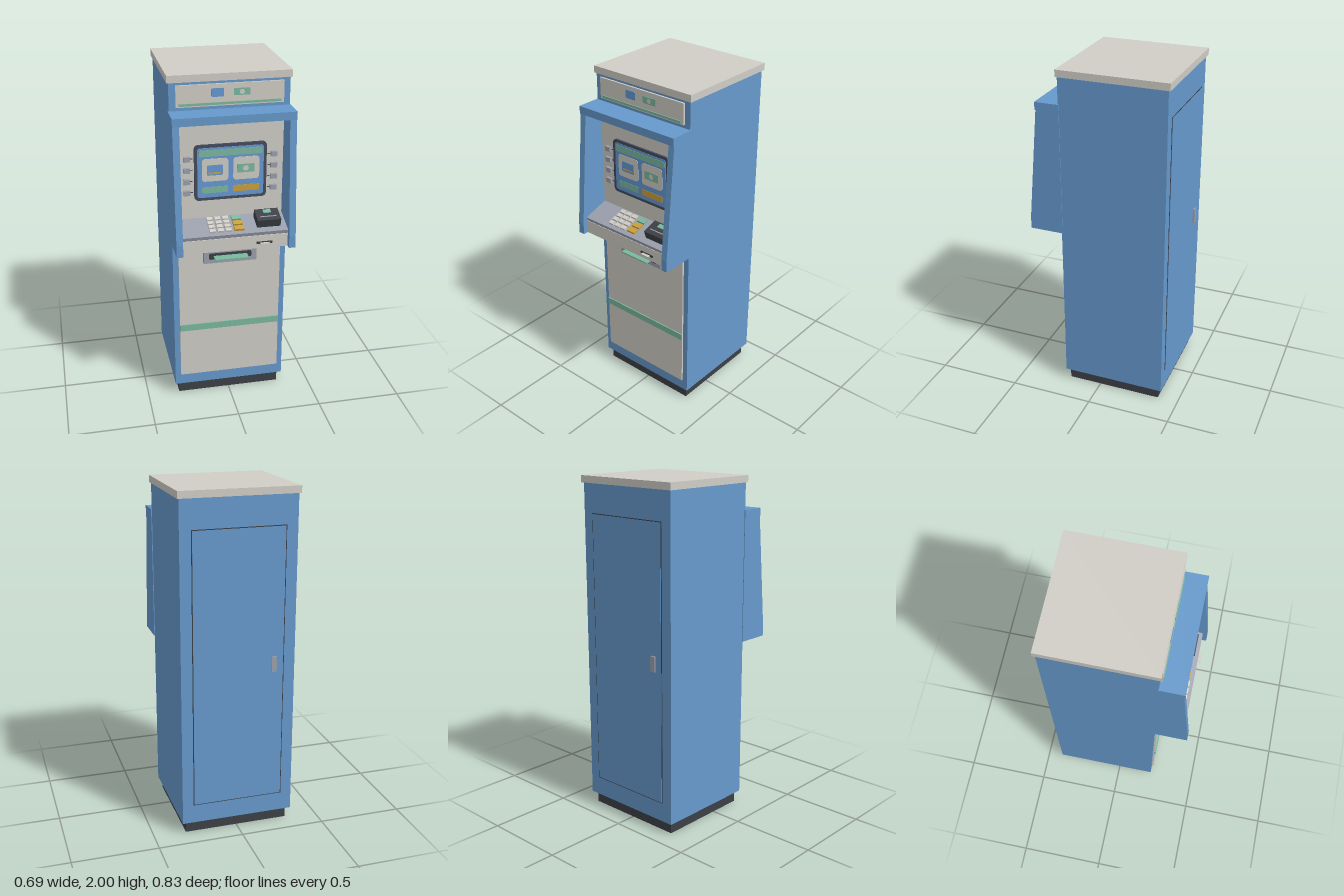
import * as THREE from 'three';

const mat = (name, color) => {
  const m = new THREE.MeshStandardMaterial({ color });
  m.name = name;
  return m;
};

export function createModel() {
  const blue = mat('cabinet blue', 0x6699cc);
  const cream = mat('warm light grey', 0xd0cdc6);
  const dark = mat('charcoal', 0x3c4046);
  const steel = mat('steel grey', 0x9a9fac);
  const frame = mat('bezel slate', 0x454b5c);
  const screenBlue = mat('screen blue', 0x6699d6);
  const green = mat('mint green', 0x7ab8a0);
  const amber = mat('amber', 0xcca03a);

  const root = new THREE.Group();
  const add = (name, geo, m, parent = root) => {
    const mesh = new THREE.Mesh(geo, m);
    mesh.name = name;
    parent.add(mesh);
    return mesh;
  };
  // box given by its extents
  const box = (name, m, x0, x1, y0, y1, z0, z1, parent = root) => {
    const mesh = add(name, new THREE.BoxGeometry(x1 - x0, y1 - y0, z1 - z0), m, parent);
    mesh.position.set((x0 + x1) / 2, (y0 + y1) / 2, (z0 + z1) / 2);
    return mesh;
  };
  // rounded plate facing the front
  const plate = (name, m, x0, x1, y0, y1, z0, depth, r, parent = root) => {
    const s = new THREE.Shape();
    s.moveTo(x0 + r, y0);
    s.lineTo(x1 - r, y0);
    s.absarc(x1 - r, y0 + r, r, -Math.PI / 2, 0);
    s.absarc(x1 - r, y1 - r, r, 0, Math.PI / 2);
    s.absarc(x0 + r, y1 - r, r, Math.PI / 2, Math.PI);
    s.absarc(x0 + r, y0 + r, r, Math.PI, Math.PI * 1.5);
    const g = new THREE.ExtrudeGeometry(s, { depth, bevelEnabled: false, curveSegments: 6 });
    g.translate(0, 0, z0);
    return add(name, g, m, parent);
  };
  const disc = (name, m, x, y, z, r, parent) => {
    const mesh = add(name, new THREE.CircleGeometry(r, 20), m, parent);
    mesh.position.set(x, y, z);
  };

  // cabinet
  box('plinth', dark, -0.31, 0.31, 0, 0.07, -0.375, 0.2);
  box('cabinet', blue, -0.333, 0.333, 0.07, 1.96, -0.4, 0.22);
  box('topCap', cream, -0.343, 0.343, 1.96, 2, -0.412, 0.228);
  box('lowerPanel', cream, -0.3, 0.3, 0.14, 1.03, 0.215, 0.23);
  box('accentStripe', green, -0.3, 0.3, 0.45, 0.49, 0.225, 0.237);
  box('mainPanel', cream, -0.3, 0.3, 1.03, 1.76, 0.215, 0.231);

  // service door on the back
  box('doorGap', dark, -0.268, 0.268, 0.182, 1.793, -0.402, -0.395);
  box('serviceDoor', blue, -0.263, 0.263, 0.187, 1.788, -0.404, -0.395);
  box('doorHandle', steel, -0.222, -0.19, 0.96, 1.05, -0.414, -0.4);

  // header sign
  const sign = new THREE.Group();
  sign.name = 'headerSign';
  root.add(sign);
  box('signPanel', cream, -0.297, 0.297, 1.825, 1.945, 0.215, 0.231, sign);
  box('signStripe', green, -0.28, 0.28, 1.832, 1.845, 0.229, 0.236, sign);
  plate('signCard', screenBlue, -0.105, -0.035, 1.875, 1.922, 0.23, 0.004, 0.008, sign);
  plate('signNote', green, 0.018, 0.108, 1.878, 1.917, 0.23, 0.004, 0.004, sign);
  disc('signNoteDot', cream, 0.063, 1.8975, 0.2355, 0.014, sign);

  // visor and tapered side wings
  box('visor', blue, -0.338, 0.338, 1.76, 1.805, 0.215, 0.357);
  const wing = new THREE.Shape([[-0.215, 1.03], [-0.215, 1.76], [-0.352, 1.76], [-0.412, 1.1], [-0.412, 1.03]]
    .map(([x, y]) => new THREE.Vector2(x, y)));
  for (const x of [-0.337, 0.3]) {
    const g = new THREE.ExtrudeGeometry(wing, { depth: 0.037, bevelEnabled: false });
    g.rotateY(Math.PI / 2);
    add('sideWing', g, blue).position.x = x;
  }

  // screen with its menu
  const screen = new THREE.Group();
  screen.name = 'screen';
  root.add(screen);
  plate('bezel', frame, -0.204, 0.204, 1.287, 1.612, 0.228, 0.014, 0.025, screen);
  plate('display', screenBlue, -0.187, 0.187, 1.304, 1.595, 0.24, 0.004, 0.015, screen);
  plate('menuHeader', green, -0.178, 0.178, 1.545, 1.583, 0.242, 0.004, 0.008, screen);
  for (const side of [-1, 1]) {
    const c = side * 0.088;
    plate('menuTile', cream, c - 0.074, c + 0.074, 1.4, 1.532, 0.242, 0.004, 0.018, screen);
    plate('menuButton', side < 0 ? green : amber, c - 0.074, c + 0.074, 1.33, 1.367, 0.242, 0.004, 0.005, screen);
  }
  plate('cardIcon', screenBlue, -0.134, -0.045, 1.435, 1.495, 0.244, 0.004, 0.007, screen);
  box('cardIconStripe', amber, -0.126, -0.053, 1.443, 1.453, 0.245, 0.0495 + 0.2, screen);
  plate('noteIcon', green, 0.036, 0.134, 1.441, 1.49, 0.244, 0.004, 0.004, screen);
  disc('noteIconDot', cream, 0.085, 1.4655, 0.2495, 0.016, screen);

  // function keys beside the screen
  for (const side of [-1, 1]) {
    for (let i = 0; i < 4; i++) {
      const x = side * 0.246, y = 1.535 - i * 0.066;
      box('functionKey', steel, x - 0.018, x + 0.018, y - 0.014, y + 0.014, 0.23, 0.248);
      const t = side * 0.219;
      box('keyMark', frame, t - 0.007, t + 0.007, y - 0.002, y + 0.002, 0.229, 0.234);
    }
  }

  // console body with sloping top
  const side = new THREE.Shape([[-0.215, 1.03], [-0.215, 1.165], [-0.38, 1.108], [-0.38, 1.03]]
    .map(([x, y]) => new THREE.Vector2(x, y)));
  const consoleGeo = new THREE.ExtrudeGeometry(side, { depth: 0.6, bevelEnabled: false });
  consoleGeo.rotateY(Math.PI / 2);
  add('consoleBody', consoleGeo, cream).position.x = -0.3;

  // tilted shelf carrying the keypad and card reader
  const shelf = new THREE.Group();
  shelf.name = 'shelf';
  shelf.position.set(0, 1.155, 0.3075);
  shelf.rotation.x = 0.31;
  root.add(shelf);
  box('shelfPlate', steel, -0.3, 0.3, -0.028, 0, -0.085, 0.081, shelf);
  for (let r = 0; r < 4; r++) {
    const z = -0.054 + r * 0.033;
    for (let c = 0; c < 3; c++) {
      const x = -0.124 + c * 0.045;
      box('numberKey', cream, x - 0.017, x + 0.017, 0, 0.012, z - 0.012, z + 0.012, shelf);
    }
  }
  [green, amber, amber].forEach((m, i) => {
    const z = -0.048 + i * 0.043;
    box('actionKey', m, 0, 0.054, 0, 0.012, z - 0.016, z + 0.016, shelf);
  });
  box('cardReader', dark, 0.13, 0.265, 0, 0.05, -0.055, 0.042, shelf);
  box('readerLight', green, 0.176, 0.22, 0.049, 0.054, -0.045, -0.018, shelf);
  box('readerSlot', steel, 0.15, 0.245, 0.049, 0.052, 0.008, 0.014, shelf);

  // receipt slot
  box('receiptSlot', dark, 0.12, 0.21, 1.058, 1.071, 0.375, 0.384);
  box('receipt', cream, 0.139, 0.193, 1.063, 1.066, 0.375, 0.402);

  // cash dispenser
  const cash = new THREE.Group();
  cash.name = 'cashDispenser';
  root.add(cash);
  box('dispenserFrame', steel, -0.157, 0.153, 0.895, 0.988, 0.228, 0.252, cash);
  plate('dispenserMouth', dark, -0.126, 0.122, 0.92, 0.958, 0.25, 0.005, 0.008, cash);
  box('banknotes', green, -0.1, 0.096, 0.936, 0.943, 0.25, 0.308, cash);

  return root;
}
